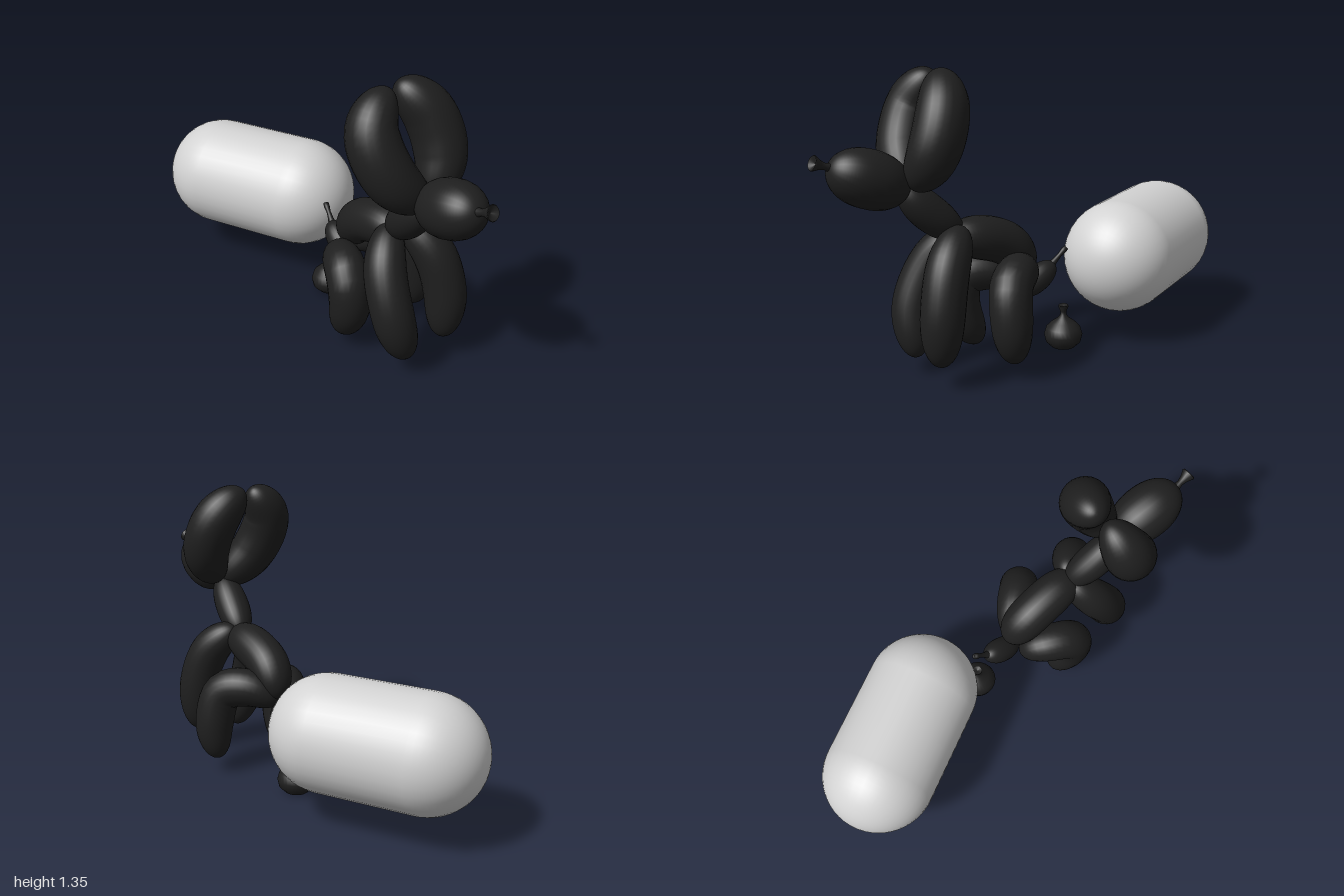
import * as THREE from 'three';
import { mergeVertices } from 'three/addons/utils/BufferGeometryUtils.js';

const V = (p) => new THREE.Vector3(...p);

// Curve sampled more densely near both tips, so the rounded ends stay smooth
class EasedCurve extends THREE.CatmullRomCurve3 {
  getUtoTmapping(u, d) {
    return super.getUtoTmapping((1 - Math.cos(Math.PI * u)) / 2, d);
  }
}

// Sausage-shaped balloon segment along a path given from tip to tip
function balloonGeometry(points, radius, power) {
  const rings = 36, sides = 24;
  const curve = new EasedCurve(points.map(V));
  const geo = new THREE.TubeGeometry(curve, rings, radius, sides);
  const pos = geo.attributes.position, v = new THREE.Vector3();
  for (let i = 0; i <= rings; i++) {
    const centre = curve.getPointAt(i / rings);
    const k = Math.abs(Math.cos(Math.PI * i / rings));
    const s = Math.sqrt(Math.max(0, 1 - Math.pow(k, power)));
    for (let j = 0; j <= sides; j++) {
      const n = i * (sides + 1) + j;
      v.fromBufferAttribute(pos, n).sub(centre).multiplyScalar(s).add(centre);
      pos.setXYZ(n, v.x, v.y, v.z);
    }
  }
  geo.deleteAttribute('uv');
  geo.deleteAttribute('normal');
  const merged = mergeVertices(geo, 1e-5);
  merged.computeVertexNormals();
  return merged;
}

export function createModel() {
  const model = new THREE.Group();
  const black = new THREE.MeshStandardMaterial({ color: 0x1f1f1f });
  black.name = 'black rubber';
  const grey = new THREE.MeshStandardMaterial({ color: 0xd2d2d2 });
  grey.name = 'pale grey';

  const add = (parent, name, geo, mat = black) => {
    const mesh = new THREE.Mesh(geo, mat);
    mesh.name = name;
    parent.add(mesh);
    return mesh;
  };
  // Lathe turned to run from one point towards another
  const knot = (parent, name, from, to, profile) => {
    const a = V(from), dir = V(to).sub(a), len = dir.length();
    const pts = profile.map(([r, t]) => new THREE.Vector2(r, t * len));
    const mesh = add(parent, name, new THREE.LatheGeometry(pts, 20));
    mesh.position.copy(a);
    mesh.quaternion.setFromUnitVectors(new THREE.Vector3(0, 1, 0), dir.normalize());
  };

  // Large capsule lying along x
  const capsule = add(model, 'capsule', new THREE.CapsuleGeometry(0.265, 0.46, 14, 36), grey);
  capsule.rotation.z = Math.PI / 2;
  capsule.position.set(-0.505, 0.405, -0.27);

  // Balloon dog: name, radius, end fullness, path
  const dog = new THREE.Group();
  dog.name = 'balloonDog';
  model.add(dog);
  const segments = [
    ['head', 0.125, 2.2, [[0.63, 0.85, 0.30], [0.775, 0.915, 0.395], [0.92, 0.98, 0.485]]],
    ['neck', 0.082, 2.2, [[0.43, 0.62, 0.17], [0.545, 0.74, 0.26], [0.65, 0.865, 0.33]]],
    ['rightEar', 0.115, 2.5, [[0.63, 0.84, 0.30], [0.51, 1.00, 0.41], [0.43, 1.18, 0.41], [0.44, 1.33, 0.30]]],
    ['leftEar', 0.115, 2.5, [[0.64, 0.86, 0.27], [0.63, 1.02, 0.17], [0.57, 1.18, 0.16], [0.46, 1.335, 0.24]]],
    ['body', 0.1, 3, [[0.13, 0.40, 0.00], [0.22, 0.54, 0.06], [0.36, 0.60, 0.13], [0.50, 0.61, 0.20]]],
    ['rightFrontLeg', 0.095, 3.2, [[0.42, 0.65, 0.18], [0.46, 0.50, 0.31], [0.53, 0.30, 0.365], [0.58, 0.08, 0.32]]],
    ['leftFrontLeg', 0.097, 3.2, [[0.46, 0.67, 0.15], [0.60, 0.53, 0.13], [0.665, 0.34, 0.12], [0.67, 0.105, 0.13]]],
    ['rightBackLeg', 0.095, 3.2, [[0.12, 0.33, 0.07], [0.18, 0.39, 0.17], [0.26, 0.37, 0.27], [0.28, 0.24, 0.28], [0.22, 0.045, 0.22]]],
    ['leftBackLeg', 0.095, 3.2, [[0.14, 0.38, 0.02], [0.28, 0.44, -0.03], [0.40, 0.41, -0.06], [0.44, 0.25, -0.085], [0.42, 0.075, -0.09]]],
    ['tail', 0.06, 2.2, [[0.17, 0.30, 0.03], [0.09, 0.345, -0.01], [0.0, 0.41, -0.06]]],
  ];
  for (const [name, radius, power, path] of segments)
    add(dog, name, balloonGeometry(path, radius, power));

  // Flared knot on the nose
  knot(dog, 'noseKnot', [0.90, 0.975, 0.475], [0.985, 1.01, 0.51],
    [[0.022, 0], [0.014, 0.4], [0.02, 0.65], [0.034, 0.95], [0.03, 1], [0, 0.8]]);
  // Thin uninflated tip of the tail
  knot(dog, 'tailTip', [0.02, 0.40, -0.05], [-0.045, 0.48, -0.10],
    [[0.022, 0], [0.013, 0.3], [0.01, 0.6], [0.014, 0.85], [0.012, 1], [0, 0.97]]);

  // Small deflated balloon on the ground
  const drop = [[0, 0], [0.055, 0.004], [0.082, 0.03], [0.09, 0.065], [0.08, 0.098], [0.055, 0.123],
    [0.027, 0.143], [0.014, 0.16], [0.014, 0.175], [0.024, 0.2], [0.022, 0.207], [0, 0.195]];
  const small = add(model, 'smallBalloon',
    new THREE.LatheGeometry(drop.map(([r, y]) => new THREE.Vector2(r, y)), 28));
  small.position.set(-0.02, 0, -0.1);

  return model;
}
